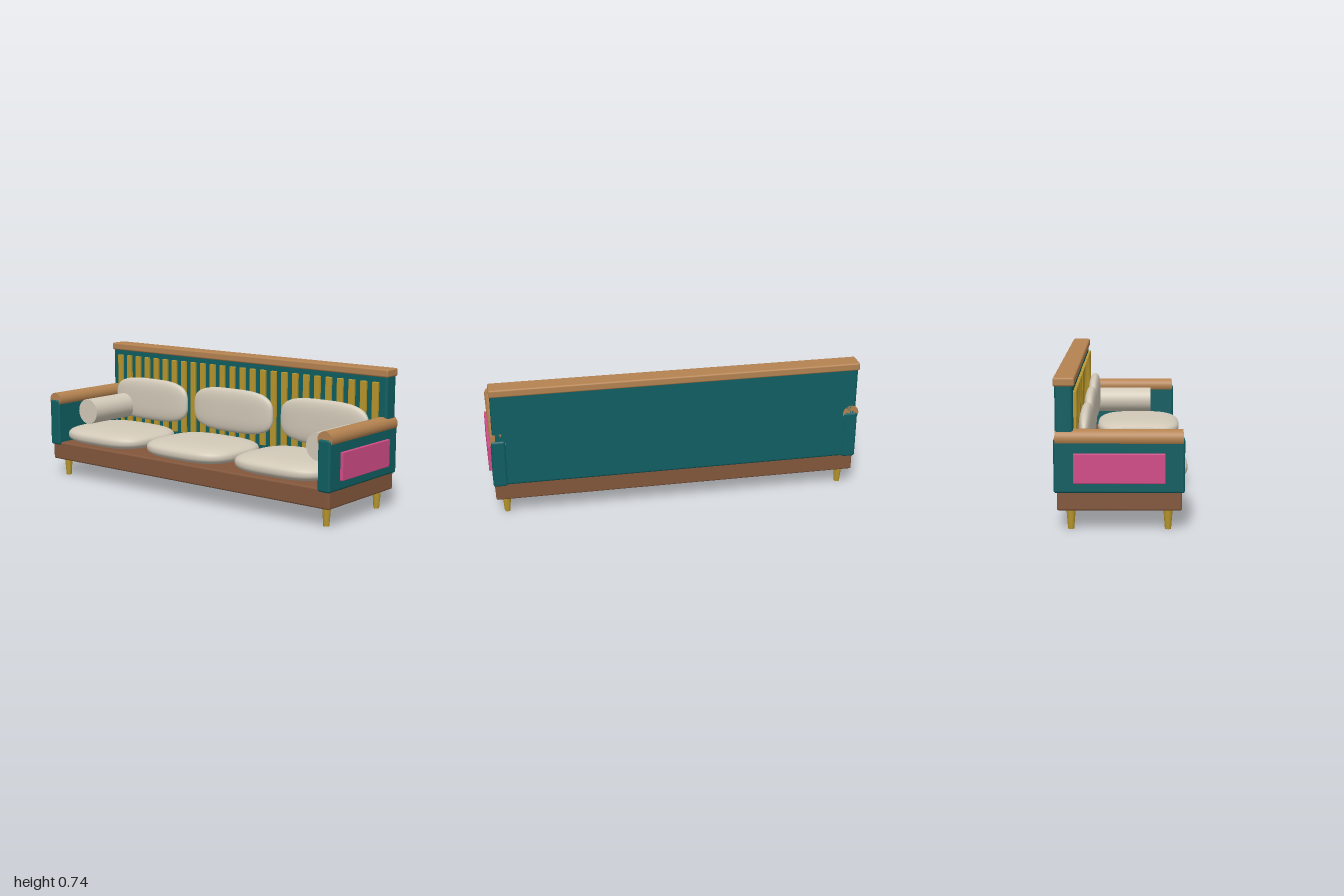
import * as THREE from 'three';
import { RoundedBoxGeometry } from 'three/addons/geometries/RoundedBoxGeometry.js';

function material(name, color) {
  const m = new THREE.MeshStandardMaterial({ color });
  m.name = name;
  return m;
}

// Pillow shape: a sphere squared off by a power rule, a = half sizes, p = power per axis
function pillowGeometry(a, p) {
  const g = new THREE.SphereGeometry(1, 48, 32);
  const pos = g.attributes.position;
  const nor = g.attributes.normal;
  const squash = (v, e) => Math.sign(v) * Math.pow(Math.abs(v), e);
  for (let i = 0; i < pos.count; i++) {
    const v = [pos.getX(i), pos.getY(i), pos.getZ(i)];
    const q = v.map((c, k) => squash(Math.abs(c) < 1e-6 ? 0 : c, p[k]));
    pos.setXYZ(i, q[0] * a[0], q[1] * a[1], q[2] * a[2]);
    // gradient of the implicit surface gives smooth normals
    const n = new THREE.Vector3(...q.map((c, k) => squash(c, 2 / p[k] - 1) / (a[k] * p[k])));
    n.normalize();
    nor.setXYZ(i, n.x, n.y, n.z);
  }
  return g;
}

export function createModel() {
  const sofa = new THREE.Group();
  sofa.name = 'sofa';

  const teal = material('teal upholstery', 0x0f5e62);
  const oak = material('light wood', 0xb48250);
  const walnut = material('brown wood', 0x83573c);
  const gold = material('gold', 0xb8962c);
  const linen = material('cream linen', 0xd2c9b8);
  const pink = material('pink panel', 0xd04c86);

  function add(name, geometry, mat, x, y, z) {
    const mesh = new THREE.Mesh(geometry, mat);
    mesh.name = name;
    mesh.position.set(x, y, z);
    sofa.add(mesh);
    return mesh;
  }

  // Box given by its lower and upper corners
  function box(name, mat, lo, hi, radius) {
    const s = hi.map((h, i) => h - lo[i]);
    const c = hi.map((h, i) => (h + lo[i]) / 2);
    return add(name, new RoundedBoxGeometry(s[0], s[1], s[2], 3, radius), mat, ...c);
  }

  // Base and backrest
  box('base', walnut, [-0.975, 0.1, -0.312], [0.975, 0.203, 0.285], 0.01);
  box('backrest', teal, [-0.975, 0.19, -0.32], [0.975, 0.71, -0.233], 0.014);
  box('topRail', oak, [-0.98, 0.698, -0.327], [0.98, 0.74, -0.225], 0.009);

  // Vertical slats on the backrest
  const slatCount = 26;
  const slat = new RoundedBoxGeometry(0.036, 0.425, 0.03, 2, 0.003);
  for (let i = 0; i < slatCount; i++) {
    add('slat', slat, gold, (i - (slatCount - 1) / 2) * 0.0727, 0.4585, -0.233);
  }

  // Arms, legs and bolsters, mirrored
  for (const side of [-1, 1]) {
    add('arm', new RoundedBoxGeometry(0.074, 0.263, 0.625, 3, 0.012), teal, side * 0.947, 0.3185, -0.0145);
    const cap = add('armCap', new THREE.CylinderGeometry(0.043, 0.043, 0.61, 32), oak, side * 0.947, 0.449, -0.015);
    cap.rotation.x = Math.PI / 2;
    add('sidePanel', new RoundedBoxGeometry(0.025, 0.143, 0.437, 2, 0.003), pink, side * 0.9875, 0.3085, -0.0135);
    const bolster = add('bolster', new THREE.CylinderGeometry(0.073, 0.073, 0.34, 32), linen, side * 0.816, 0.378, -0.015);
    bolster.rotation.x = Math.PI / 2;
    for (const z of [0.22, -0.247]) {
      add('leg', new THREE.CylinderGeometry(0.023, 0.015, 0.105, 20), gold, side * 0.918, 0.0525, z);
    }
  }

  // Seat and back cushions
  const seat = pillowGeometry([0.292, 0.053, 0.243], [0.62, 0.75, 0.62]);
  const back = pillowGeometry([0.28, 0.124, 0.033], [0.62, 0.62, 0.75]);
  for (const x of [-0.618, 0, 0.618]) {
    add('seatCushion', seat, linen, x, 0.257, 0.08);
    add('backCushion', back, linen, x, 0.429, -0.185);
  }

  return sofa;
}
